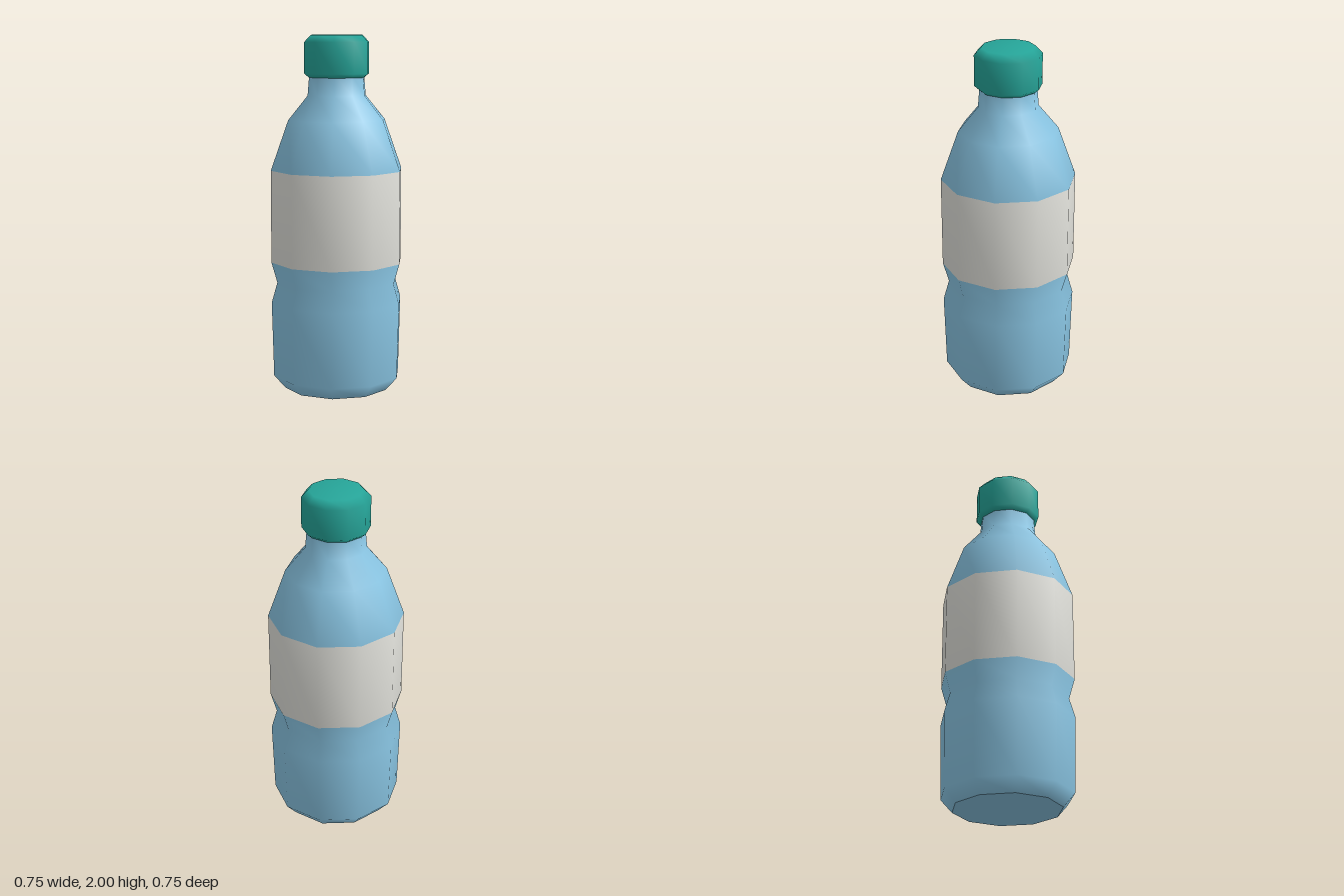
import * as THREE from 'three';

const SIDES = 10;
const TURN = THREE.MathUtils.degToRad(27);

const material = (name, color) => {
  const m = new THREE.MeshStandardMaterial({ color });
  m.name = name;
  return m;
};

// Ten-sided turned shape from [radius, height] pairs, listed bottom to top
const turned = (profile) => new THREE.LatheGeometry(
  profile.map(([r, y]) => new THREE.Vector2(r, y)), SIDES, TURN, Math.PI * 2);

export function createModel() {
  const plastic = material('bluePlastic', 0x8ac6e4);
  const paper = material('labelPaper', 0xe0e0da);
  const teal = material('tealCap', 0x26a69a);
  const group = new THREE.Group();
  group.name = 'bottle';

  const add = (name, geometry, mat) => {
    const mesh = new THREE.Mesh(geometry, mat);
    mesh.name = name;
    group.add(mesh);
  };

  // Body: one smooth skin, with the label as a coloured band of it
  const profile = [
    [0.302, 0], [0.367, 0.075], [0.378, 0.5], [0.345, 0.615], [0.378, 0.73],
    [0.378, 1.25], [0.278, 1.53], [0.167, 1.665], [0.157, 1.785],
  ];
  const labelBand = 4;
  const bands = profile.length - 1;
  const body = turned(profile);
  for (let s = 0; s < SIDES; s++) {
    for (let b = 0; b < bands; b++) {
      body.addGroup((s * bands + b) * 6, 6, b === labelBand ? 1 : 0);
    }
  }
  add('bodyWithLabel', body, [plastic, paper]);

  // Flat base with a sharp rim
  add('base', turned([[0, 0], [0.302, 0]]), plastic);

  // Screw cap with bevelled rims
  add('cap', turned([
    [0.15, 1.765], [0.16, 1.765], [0.186, 1.787], [0.186, 1.96], [0.148, 2], [0, 2],
  ]), teal);

  return group;
}
